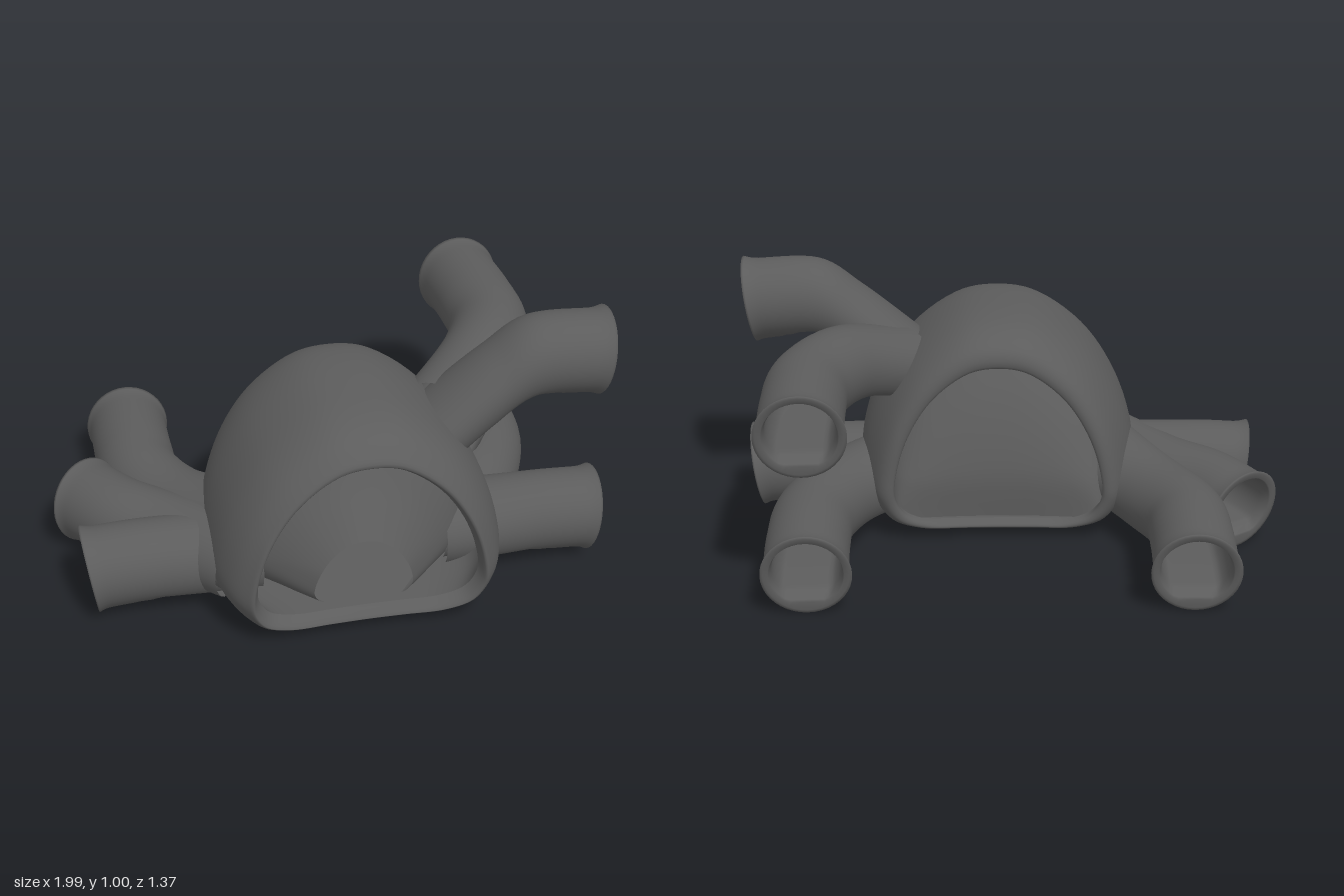
import * as THREE from 'three';

const stone = new THREE.MeshStandardMaterial({ color: 0x5c5c5c, side: THREE.DoubleSide });
stone.name = 'darkGrey';

// Skin a list of closed rings (arrays of Vector3, equal length)
function loft(rings) {
  const n = rings[0].length, pos = [], index = [];
  rings.forEach(r => r.forEach(p => pos.push(p.x, p.y, p.z)));
  for (let i = 0; i < rings.length - 1; i++) {
    for (let j = 0; j < n; j++) {
      const k = (j + 1) % n, a = i * n + j, b = i * n + k, c = a + n, d = b + n;
      index.push(a, b, c, b, d, c);
    }
  }
  const g = new THREE.BufferGeometry();
  g.setAttribute('position', new THREE.Float32BufferAttribute(pos, 3));
  g.setIndex(index);
  g.computeVertexNormals();
  return g;
}

function addMesh(group, name, geometry) {
  const mesh = new THREE.Mesh(geometry, stone);
  mesh.name = name;
  group.add(mesh);
}

// Half outline of the vaulted chamber, mirrored into a closed section
const half = [[0, 0.79], [0.15, 0.765], [0.33, 0.64], [0.45, 0.47], [0.515, 0.29], [0.527, 0.15], [0.47, 0.05], [0.35, 0.005], [0.17, 0]];
const outline = [...half, [0, 0], ...half.slice(1).reverse().map(([x, y]) => [-x, y])];
const section = new THREE.CatmullRomCurve3(
  outline.map(([x, y]) => new THREE.Vector3(x, y, 0)), true).getPoints(96).slice(0, -1);

// Stations are [z, width scale, height scale, floor height]; ends bow in at the middle and at the floor
const chamber = stations => {
  const path = new THREE.CatmullRomCurve3(stations.map(([z, w, h]) => new THREE.Vector3(z, w, h)));
  const count = (stations.length - 1) * 4;
  const rings = [];
  for (let i = 0; i <= count; i++) {
    const s = path.getPoint(i / count), f = i / 4, k = Math.min(Math.floor(f), stations.length - 2);
    const floor = THREE.MathUtils.lerp(stations[k][3], stations[k + 1][3], f - k);
    rings.push(section.map(p => {
      const x = p.x * s.y, y = p.y * s.z;
      const bow = 0.05 * Math.max(0, 1 - (x / 0.38) ** 2) + 0.06 * Math.max(0, 1 - y / 0.15);
      return new THREE.Vector3(0.04 + x, floor + y, 0.28 + (s.x - 0.28) * (1 - bow));
    }));
  }
  return loft(rings);
};

// Flat-floored pipe that opens into a round, tilted mouth with a rolled lip
function pipe(points) {
  const curve = new THREE.CatmullRomCurve3(points.map(p => new THREE.Vector3(...p)), false, 'centripetal');
  const length = curve.getLength(), sides = 40, steps = 28, rings = [];
  const ring = (t, inset) => {
    const c = curve.getPointAt(t), tan = curve.getTangentAt(t);
    tan.y = 0;
    tan.normalize();
    const side = new THREE.Vector3(-tan.z, 0, tan.x);
    const d = (1 - t) * length;
    const open = Math.max(0, 1 - d / 0.24), lip = Math.max(0, 1 - d / 0.05);
    const root = Math.max(0, 1 - t * length / 0.35);
    const r = 0.15 + 0.01 * lip * lip - inset;
    const flat = inset > 0.01 ? 0.085 + 0.03 * lip : 0.1 + 0.06 * open;
    const out = [];
    for (let j = 0; j < sides; j++) {
      const a = j / sides * Math.PI * 2;
      const u = Math.cos(a) * (r + 0.025 * root), v = Math.max(Math.sin(a) * r, -flat);
      out.push(c.clone().addScaledVector(side, u)
        .addScaledVector(tan, v * 0.16 * open)
        .add(new THREE.Vector3(0, v, 0)));
    }
    return out;
  };
  const at = i => 1 - Math.pow(1 - i / steps, 1.4);
  for (let i = 0; i <= steps; i++) rings.push(ring(at(i), 0));
  rings.push(ring(1, 0.01));
  for (let i = steps; i >= 0; i--) rings.push(ring(at(i), 0.028));
  return loft(rings);
}

export function createModel() {
  const model = new THREE.Group();
  model.name = 'tunnelHub';

  // Outer vault, open at front and back with rolled rims
  addMesh(model, 'vaultShell', chamber([
    [0.64, 0.75, 0.75, 0.085], [0.5, 0.88, 0.9, 0.085], [0.3, 0.94, 0.94, 0.085], [0.05, 0.88, 0.9, 0.085],
    [-0.07, 0.77, 0.83, 0.08], [-0.11, 0.73, 0.8, 0.065], [-0.12, 0.78, 0.86, 0.05],
    [-0.09, 0.85, 0.93, 0.04], [0, 0.92, 0.98, 0.04], [0.13, 0.98, 1, 0.04],
    [0.3, 1, 1, 0.04], [0.48, 0.98, 0.985, 0.04], [0.59, 0.92, 0.95, 0.04],
    [0.66, 0.84, 0.89, 0.04], [0.685, 0.79, 0.83, 0.05], [0.64, 0.75, 0.75, 0.085]
  ]));

  // Inner vault: small arch facing the front, swelling to the ceiling, then bulging down to the back floor
  addMesh(model, 'innerVault', chamber([
    [0.59, 0.34, 0.33, 0.078], [0.48, 0.56, 0.54, 0.078], [0.34, 0.8, 0.8, 0.078], [0.18, 0.85, 0.8, 0.078],
    [0.08, 0.81, 0.66, 0.078], [0, 0.77, 0.48, 0.078], [-0.06, 0.73, 0.26, 0.078], [-0.09, 0.68, 0.01, 0.078]
  ]));

  // Pipes leading out of the chamber
  const pipes = {
    lowerLeftPipe: [[0.38, 0.17, 0.28], [0.6, 0.17, 0.28], [0.78, 0.17, 0.28], [0.968, 0.16, 0.28]],
    upperLeftPipe: [[0.32, 0.55, 0.28], [0.55, 0.74, 0.28], [0.7, 0.84, 0.28], [0.968, 0.84, 0.28]],
    lowerLeftBackPipe: [[0.42, 0.17, 0.24], [0.62, 0.17, 0], [0.71, 0.17, -0.22], [0.72, 0.17, -0.42], [0.71, 0.16, -0.66]],
    upperLeftBackPipe: [[0.39, 0.59, 0.24], [0.6, 0.675, 0.01], [0.71, 0.685, -0.22], [0.72, 0.685, -0.42], [0.71, 0.68, -0.66]],
    rightPipe: [[-0.3, 0.17, 0.28], [-0.6, 0.17, 0.28], [-0.75, 0.17, 0.28], [-0.908, 0.16, 0.28]],
    rightDiagonalPipe: [[-0.36, 0.19, 0.37], [-0.6, 0.17, 0.13], [-0.75, 0.17, 0], [-0.865, 0.16, -0.165]],
    rightBackPipe: [[-0.32, 0.24, 0.24], [-0.54, 0.17, -0.04], [-0.64, 0.17, -0.25], [-0.65, 0.17, -0.42], [-0.645, 0.16, -0.66]]
  };
  for (const [name, points] of Object.entries(pipes)) addMesh(model, name, pipe(points));

  return model;
}
